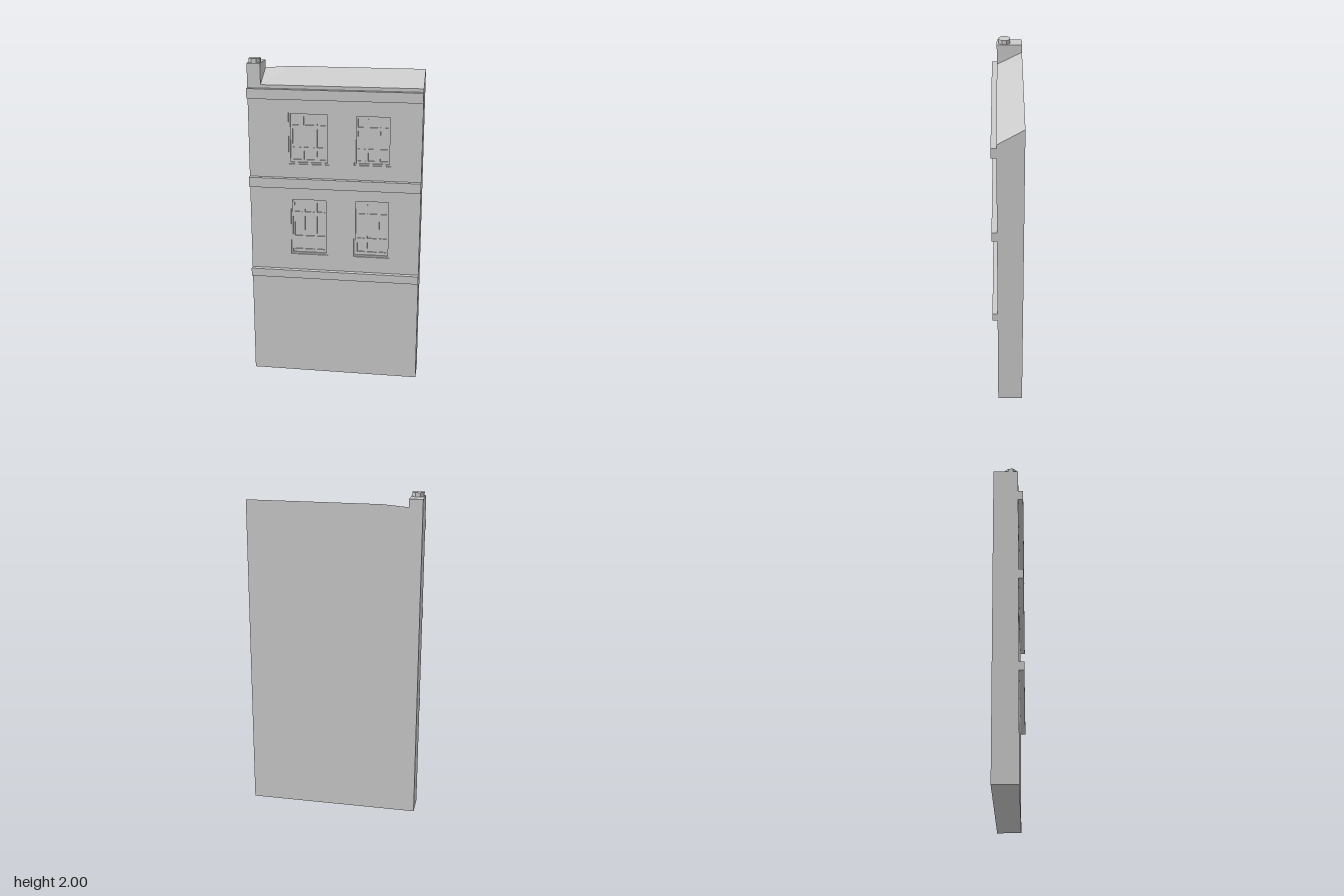
import * as THREE from 'three';

const mat = new THREE.MeshStandardMaterial({ color: 0xcccccc, flatShading: true });
const HALF = 0.52, FRONT = 0.06, INNER = 0.03, BACK = -0.09, SEAM = 1.8;

function add(group, name, geometry) {
  const mesh = new THREE.Mesh(geometry, mat);
  mesh.name = name;
  group.add(mesh);
  return mesh;
}

function boxBetween(x0, x1, y0, y1, z0, z1) {
  return new THREE.BoxGeometry(x1 - x0, y1 - y0, z1 - z0)
    .translate((x0 + x1) / 2, (y0 + y1) / 2, (z0 + z1) / 2);
}

// Side profile swept along x, stepped back below the seam to hold the window wall
function section(x0, x1, eave, ridge) {
  const shape = new THREE.Shape([
    [-BACK, 0], [-BACK, ridge], [-FRONT, eave], [-FRONT, SEAM], [-INNER, SEAM], [-INNER, 0],
  ].map(([z, y]) => new THREE.Vector2(z, y)));
  return new THREE.ExtrudeGeometry(shape, { depth: x1 - x0, bevelEnabled: false })
    .rotateY(Math.PI / 2).translate(x0, 0, 0);
}

function rectPath(Type, x0, x1, y0, y1) {
  return new Type([[x0, y0], [x1, y0], [x1, y1], [x0, y1]]
    .map(([x, y]) => new THREE.Vector2(x, y)));
}

// Flat panel with rectangular openings
function panel(outer, holes, z0, z1) {
  const shape = rectPath(THREE.Shape, ...outer);
  for (const h of holes) shape.holes.push(rectPath(THREE.Path, ...h));
  return new THREE.ExtrudeGeometry(shape, { depth: z1 - z0, bevelEnabled: false })
    .translate(0, 0, z0);
}

// Pane edges as fractions of the window opening
const columns = [[0.09, 0.3], [0.37, 0.63], [0.7, 0.91]];
const rows = [[0.08, 0.25], [0.32, 0.68], [0.75, 0.92]];

function makeWindow([x0, x1, y0, y1]) {
  const g = new THREE.Group();
  g.name = 'window';
  const t = 0.01, w = x1 - x0, h = y1 - y0;
  add(g, 'casing', panel([x0, x1, y0, y1], [[x0 + t, x1 - t, y0 + t, y1 - t]], INNER, 0.052));
  const panes = [];
  for (const [a, b] of columns) {
    for (const [c, d] of rows) panes.push([x0 + a * w, x0 + b * w, y0 + c * h, y0 + d * h]);
  }
  add(g, 'glazingBars', panel([x0 + t, x1 - t, y0 + t, y1 - t], panes, INNER, 0.043));
  add(g, 'glass', boxBetween(x0 + t, x1 - t, y0 + t, y1 - t, INNER - 0.005, 0.035));
  return g;
}

export function createModel() {
  const model = new THREE.Group();
  model.name = 'townhouseFacade';

  // Building body with a lean-to roof that dips slightly beside the chimney
  add(model, 'body', section(-0.29, HALF, 1.85, 1.94));
  const dip = section(-0.44, -0.29, 1.85, 1.94);
  const p = dip.attributes.position;
  for (let i = 0; i < p.count; i++) {
    if (p.getX(i) < -0.4 && p.getY(i) > 1.9) p.setY(i, 1.928);
  }
  dip.computeVertexNormals();
  add(model, 'roofDip', dip);

  // Chimney stack and octagonal pot
  add(model, 'chimney', section(-HALF, -0.44, 1.975, 1.975));
  add(model, 'chimneyPot', new THREE.CylinderGeometry(0.037, 0.037, 0.04, 8)
    .rotateY(Math.PI / 8).translate(-0.48, 1.98, 0.015));

  // Front wall with recessed windows
  const openings = [
    [-0.277, -0.034, 1.375, 1.69], [0.119, 0.338, 1.38, 1.685],
    [-0.269, -0.042, 0.8, 1.16], [0.119, 0.338, 0.8, 1.165],
  ];
  add(model, 'frontWall', panel([-HALF, HALF, 0, SEAM], openings, INNER, FRONT));
  for (const o of openings) model.add(makeWindow(o));

  // Horizontal string courses
  for (const [y0, y1] of [[0.65, 0.7], [1.23, 1.29], [1.77, 1.83]]) {
    add(model, 'stringCourse', boxBetween(-HALF, HALF, y0, y1, FRONT - 0.005, 0.09));
  }
  return model;
}
